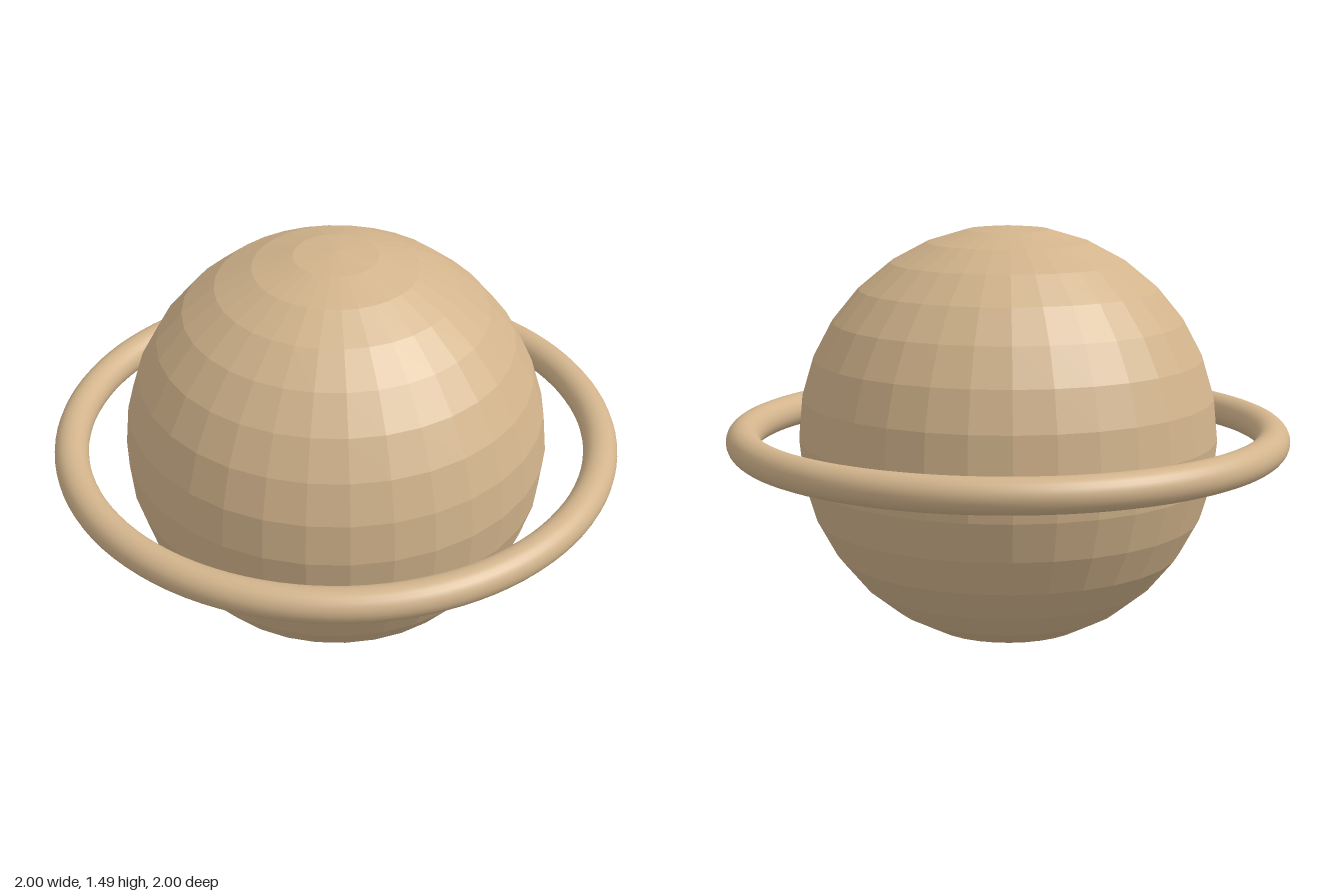
import * as THREE from 'three';

const CENTRE_Y = 0.746;

export function createModel() {
  const model = new THREE.Group();
  model.name = 'ringedPlanet';

  const tan = new THREE.MeshStandardMaterial({ color: 0xd2b48c });
  tan.name = 'tan';
  const tanFaceted = new THREE.MeshStandardMaterial({ color: 0xd2b48c, flatShading: true });
  tanFaceted.name = 'tan faceted';

  // Faceted globe
  const planet = new THREE.Mesh(new THREE.SphereGeometry(0.746, 32, 16), tanFaceted);
  planet.name = 'planet';
  planet.position.y = CENTRE_Y;

  // Smooth round ring lying flat around the equator
  const ring = new THREE.Mesh(new THREE.TorusGeometry(0.94, 0.06, 24, 100).rotateX(Math.PI / 2), tan);
  ring.name = 'ring';
  ring.position.y = CENTRE_Y;

  model.add(planet, ring);
  return model;
}
